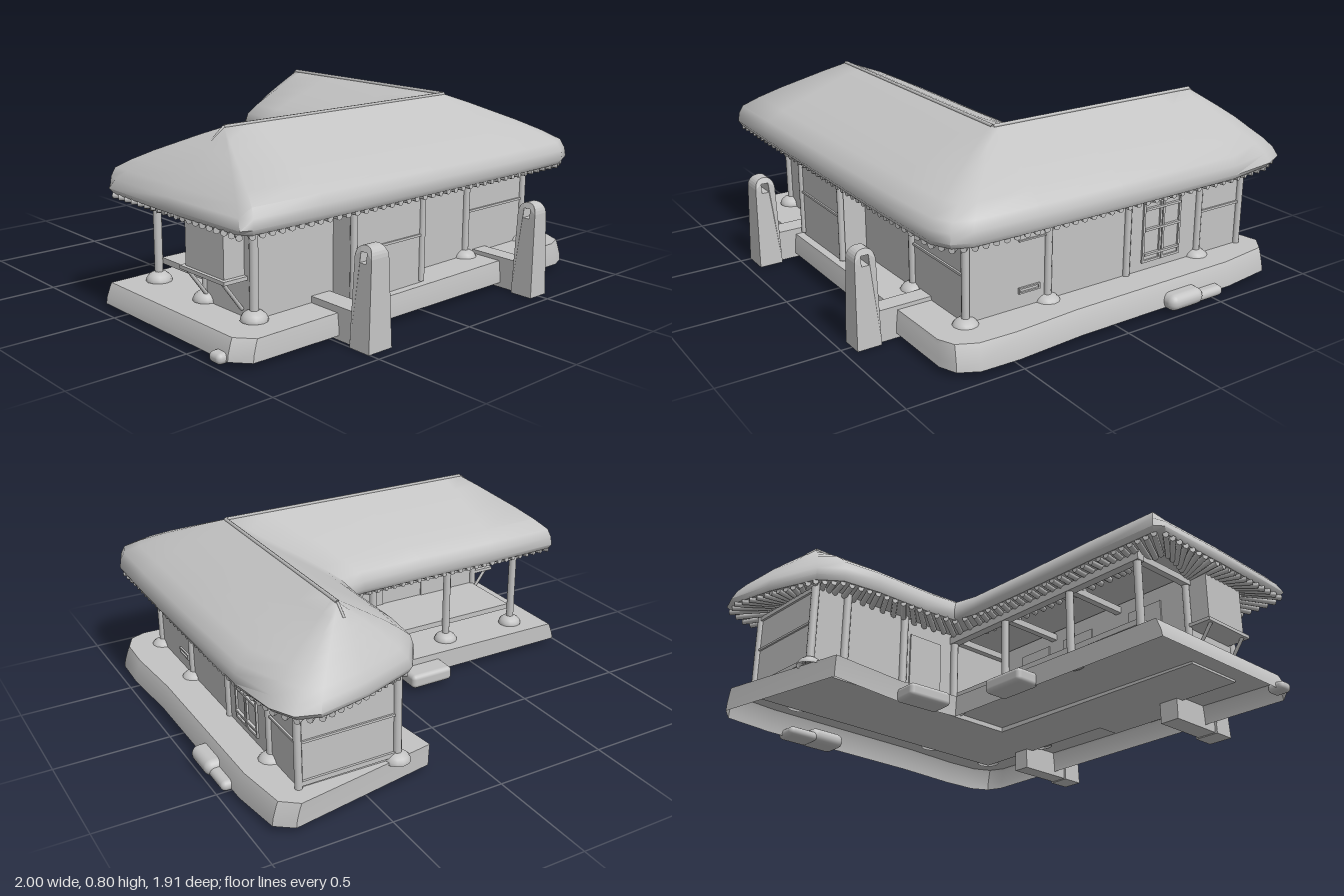
import * as THREE from 'three';
import { toCreasedNormals } from 'three/addons/utils/BufferGeometryUtils.js';
import { RoundedBoxGeometry } from 'three/addons/geometries/RoundedBoxGeometry.js';

const grey = new THREE.MeshStandardMaterial({ color: 0xc4c4c4, side: THREE.DoubleSide });
grey.name = 'plain grey';

// Closed rings of equal length joined into a skin
function loft(rings) {
  const n = rings[0].length, pos = rings.flat(2), idx = [];
  for (let r = 0; r < rings.length - 1; r++) {
    for (let i = 0; i < n; i++) {
      const a = r * n + i, b = r * n + (i + 1) % n;
      idx.push(a, a + n, b, b, a + n, b + n);
    }
  }
  const g = new THREE.BufferGeometry();
  g.setAttribute('position', new THREE.Float32BufferAttribute(pos, 3));
  g.setIndex(idx);
  return g;
}

// Eave outline x, z and the ridge point it climbs to
const EAVE = [
  [-0.94, -0.09, -0.69, 0.34], [-0.6, -0.10, -0.6, 0.34], [-0.2, -0.10, -0.1, 0.34], [0.1, -0.105, 0.35, 0.34],
  [0.205, -0.13, 0.55, 0.34], [0.22, -0.28, 0.55, 0.1], [0.22, -0.55, 0.55, -0.4], [0.24, -0.72, 0.55, -0.64],
  [0.31, -0.82, 0.55, -0.68], [0.55, -0.91, 0.55, -0.68], [0.77, -0.96, 0.55, -0.68], [0.86, -0.93, 0.55, -0.68],
  [0.91, -0.83, 0.55, -0.64], [0.94, -0.6, 0.55, -0.5], [0.945, 0, 0.55, 0], [0.945, 0.4, 0.55, 0.3],
  [0.94, 0.68, 0.55, 0.34], [0.91, 0.76, 0.55, 0.34], [0.83, 0.80, 0.53, 0.34], [0.5, 0.81, 0.45, 0.34],
  [0, 0.81, 0, 0.34], [-0.6, 0.81, -0.55, 0.34], [-0.92, 0.805, -0.69, 0.34], [-0.965, 0.785, -0.69, 0.34],
  [-0.975, 0.35, -0.69, 0.34], [-0.97, -0.05, -0.69, 0.34],
];
// Short hipped ends have a softer eave than the long sides
const isHip = (x, z) => x < -0.95 || z < -0.8;
// Share of the way to the ridge on a long side, on a hip, and height
const ROOF_PROFILE = [[1, 1, 0.51], [0.03, 0.05, 0.5], [0, 0, 0.522], [0.012, 0.06, 0.56], [0.05, 0.17, 0.597],
  [0.2, 0.32, 0.636], [0.4, 0.48, 0.679], [0.6, 0.65, 0.717], [0.8, 0.83, 0.755], [1, 1, 0.79]];

const BASE = [[-0.94, -0.11], [0.2, -0.11], [0.23, -0.4], [0.19, -0.77], [0.82, -0.885], [0.89, -0.83],
  [0.92, -0.6], [0.925, 0.2], [0.945, 0.5], [0.94, 0.66], [0.9, 0.74], [0.83, 0.77], [-0.88, 0.77], [-0.94, 0.7]];
// The platform top dips a little toward the left end
const deckY = x => 0.118 + 0.01 * x;

export function createModel() {
  const model = new THREE.Group();
  model.name = 'thatchedHouse';

  function add(name, geo, x = 0, y = 0, z = 0, parent = model) {
    const m = new THREE.Mesh(geo, grey);
    m.name = name;
    m.position.set(x, y, z);
    parent.add(m);
    return m;
  }
  // Box given by its limits
  const box = (name, x0, x1, y0, y1, z0, z1) => add(name,
    new THREE.BoxGeometry(x1 - x0, y1 - y0, z1 - z0), (x0 + x1) / 2, (y0 + y1) / 2, (z0 + z1) / 2);
  const rod = (name, a, b, r) => add(name,
    new THREE.TubeGeometry(new THREE.LineCurve3(new THREE.Vector3(...a), new THREE.Vector3(...b)), 1, r, 6));

  // Thatched roof
  const roof = loft(ROOF_PROFILE.map(([side, hip, y]) => EAVE.map(([x, z, rx, rz]) => {
    const s = isHip(x, z) ? hip : side;
    return [x + (rx - x) * s, y, z + (rz - z) * s];
  })));
  add('thatchedRoof', toCreasedNormals(roof, 1.0));

  // Ridge rope
  rod('ridgeRope', [-0.75, 0.742, 0.34], [-0.69, 0.79, 0.34], 0.006);
  rod('ridgeRope', [-0.69, 0.79, 0.34], [0.55, 0.79, 0.34], 0.008);
  rod('ridgeRope', [0.55, 0.79, 0.34], [0.55, 0.79, -0.68], 0.008);
  rod('ridgeRope', [0.55, 0.79, -0.68], [0.55, 0.745, -0.73], 0.006);

  // Rafter ends under the eaves
  const rafters = new THREE.Group();
  rafters.name = 'rafters';
  model.add(rafters);
  const rafterGeo = new THREE.CylinderGeometry(0.013, 0.013, 0.18, 7).rotateX(Math.PI / 2);
  EAVE.forEach((p, i) => {
    const q = EAVE[(i + 1) % EAVE.length];
    const count = Math.max(1, Math.round(Math.hypot(q[0] - p[0], q[1] - p[1]) / 0.045));
    for (let k = 0; k < count; k++) {
      const [x, z, rx, rz] = p.map((v, j) => v + (q[j] - v) * k / count);
      const d = Math.hypot(rx - x, rz - z), dx = (rx - x) / d, dz = (rz - z) / d;
      const m = add('rafter', rafterGeo, x + dx * 0.108, 0.494, z + dz * 0.108, rafters);
      m.rotation.y = Math.atan2(dx, dz);
    }
  });

  // Hollow stone platform: deck and flared skirt
  const deckShape = new THREE.Shape(BASE.map(([x, z]) => new THREE.Vector2(x, -z)));
  const deck = new THREE.ShapeGeometry(deckShape).rotateX(-Math.PI / 2);
  const d = deck.attributes.position;
  for (let i = 0; i < d.count; i++) d.setY(i, deckY(d.getX(i)));
  deck.computeVertexNormals();
  add('platformDeck', deck);
  const skirt = loft([[0.03, 0.1], [0.025, 0.4], [0.008, 0.85], [0, 1]].map(([out, h]) =>
    BASE.map(([x, z]) => [x * (1 + out), 0.015 + h * (deckY(x) - 0.015), z > 0.6 ? z + out * 0.3 : z])));
  add('platformSkirt', toCreasedNormals(skirt, 0.6));

  // Stepping stones around the platform
  const stone = (x0, x1, y0, y1, z0, z1, r = 0.02) => add('stepStone',
    new RoundedBoxGeometry(x1 - x0, y1 - y0, z1 - z0, 3, r), (x0 + x1) / 2, (y0 + y1) / 2, (z0 + z1) / 2);
  stone(-0.30, -0.09, 0.02, 0.085, -0.21, -0.09);
  stone(0.12, 0.24, 0.02, 0.085, -0.42, -0.21).rotation.y = -0.06;
  stone(0.87, 0.985, 0.015, 0.06, -0.53, -0.38, 0.022);
  stone(0.87, 1.0, 0.015, 0.085, -0.41, -0.23, 0.034);
  stone(-1.0, -0.92, 0.012, 0.055, 0.63, 0.7);

  // Rooms
  box('mainRoomWalls', -0.78, 0.4, 0.1, 0.505, 0.32, 0.62);
  box('wingRoomWalls', 0.36, 0.785, 0.1, 0.505, -0.79, 0.62);
  box('frontBayWalls', -0.38, 0, 0.1, 0.505, 0.6, 0.735);

  // Closet hung on the left end with its struts
  box('hungCloset', -0.875, -0.77, 0.27, 0.505, 0.33, 0.57);
  box('closetSill', -0.89, -0.77, 0.26, 0.275, 0.31, 0.59);
  for (const z of [0.34, 0.56]) rod('closetStrut', [-0.875, 0.262, z], [-0.785, 0.14, z], 0.008);

  // Porch floor, beam and joists
  box('porchFloor', -0.77, 0.36, 0.185, 0.21, 0.01, 0.33);
  box('porchBeam', -0.8, 0.36, 0.455, 0.49, -0.02, 0.02);
  for (const x of [-0.78, -0.4, 0.0, 0.34]) box('porchJoist', x - 0.015, x + 0.015, 0.46, 0.49, 0, 0.33);

  // Posts, each on a domed footing stone
  const footGeo = new THREE.SphereGeometry(0.055, 12, 5, 0, Math.PI * 2, 0, Math.PI / 2).scale(1, 0.75, 1);
  const post = (x, z, r = 0.018, foot = true) => {
    add('post', new THREE.CylinderGeometry(r, r, 0.38, 10), x, 0.315, z);
    if (foot) add('footingStone', footGeo, x, 0.112, z);
  };
  for (const x of [-0.78, -0.4, 0.0, 0.35]) post(x, 0);
  for (const z of [0.62, 0.24, -0.55]) post(0.785, z, 0.016);
  for (const z of [-0.16, -0.79]) post(0.785, z, 0.016, false);
  for (const z of [-0.79, -0.62, -0.3]) post(0.355, z);
  post(-0.775, 0.62);
  post(-0.775, 0.32, 0.016);
  post(0.4, 0.622, 0.016);
  post(0, 0.735, 0.014, false);
  post(-0.38, 0.735, 0.014, false);

  // Wall rails
  box('frontRail', 0.4, 0.78, 0.315, 0.325, 0.615, 0.628);
  box('bayRail', -0.38, 0, 0.315, 0.325, 0.73, 0.742);
  box('frontTopRail', -0.77, 0.78, 0.465, 0.485, 0.615, 0.63);
  box('sideRail', 0.78, 0.793, 0.315, 0.325, -0.79, -0.55);
  box('sideTopRail', 0.78, 0.793, 0.47, 0.485, -0.79, 0.62);
  box('rearRail', 0.36, 0.78, 0.315, 0.325, -0.798, -0.785);
  box('rearTopRail', 0.36, 0.78, 0.465, 0.485, -0.8, -0.785);
  box('rearSill', 0.36, 0.78, 0.135, 0.155, -0.8, -0.785);

  // Framed double door and hatch on the right side
  const frame = (name, y0, y1, z0, z1, t) => {
    box(name, 0.78, 0.793, y0, y0 + t, z0, z1);
    box(name, 0.78, 0.793, y1 - t, y1, z0, z1);
    box(name, 0.78, 0.793, y0, y1, z0, z0 + t);
    box(name, 0.78, 0.793, y0, y1, z1 - t, z1);
  };
  for (const z of [-0.345, -0.24]) frame('doorLeaf', 0.16, 0.43, z - 0.1, z, 0.01);
  for (const y of [0.19, 0.30, 0.39]) box('doorBar', 0.78, 0.797, y, y + 0.01, -0.44, -0.25);
  frame('hatchFrame', 0.185, 0.21, 0.28, 0.38, 0.006);
  box('windowRail', 0.78, 0.79, 0.4, 0.406, 0.25, 0.38);

  // Doors on the porch walls
  for (const x of [-0.55, -0.15, 0.12]) box('porchDoor', x - 0.09, x + 0.09, 0.21, 0.44, 0.313, 0.321);
  box('wingDoor', 0.353, 0.361, 0.15, 0.43, -0.26, -0.08);

  // Chimneys: rounded slabs with a square smoke hole, tapering upward
  const slab = new THREE.Shape();
  slab.moveTo(-0.052, 0).lineTo(0.052, 0).lineTo(0.044, 0.36);
  slab.quadraticCurveTo(0.04, 0.405, 0, 0.405).quadraticCurveTo(-0.04, 0.405, -0.044, 0.36);
  slab.closePath();
  slab.holes.push(new THREE.Path([[-0.016, 0.338], [-0.016, 0.38], [0.016, 0.38], [0.016, 0.338]]
    .map(p => new THREE.Vector2(...p))));
  for (const [x, width] of [[-0.445, 0.12], [0.497, 0.1]]) {
    const chimney = new THREE.ExtrudeGeometry(slab, { depth: width, bevelEnabled: false, curveSegments: 6 });
    chimney.rotateY(-Math.PI / 2).translate(width / 2, 0, 0);
    const p = chimney.attributes.position;
    for (let i = 0; i < p.count; i++) {
      const y = p.getY(i);
      p.setX(i, p.getX(i) * (1 - 0.7 * y - Math.max(0, y - 0.37) * 6));
    }
    chimney.computeVertexNormals();
    add('chimney', chimney, x, 0, 0.9);
    box('chimneyFlue', x - width * 0.4, x + width * 0.4, 0.005, 0.14, 0.58, 0.87);
  }
  return model;
}
